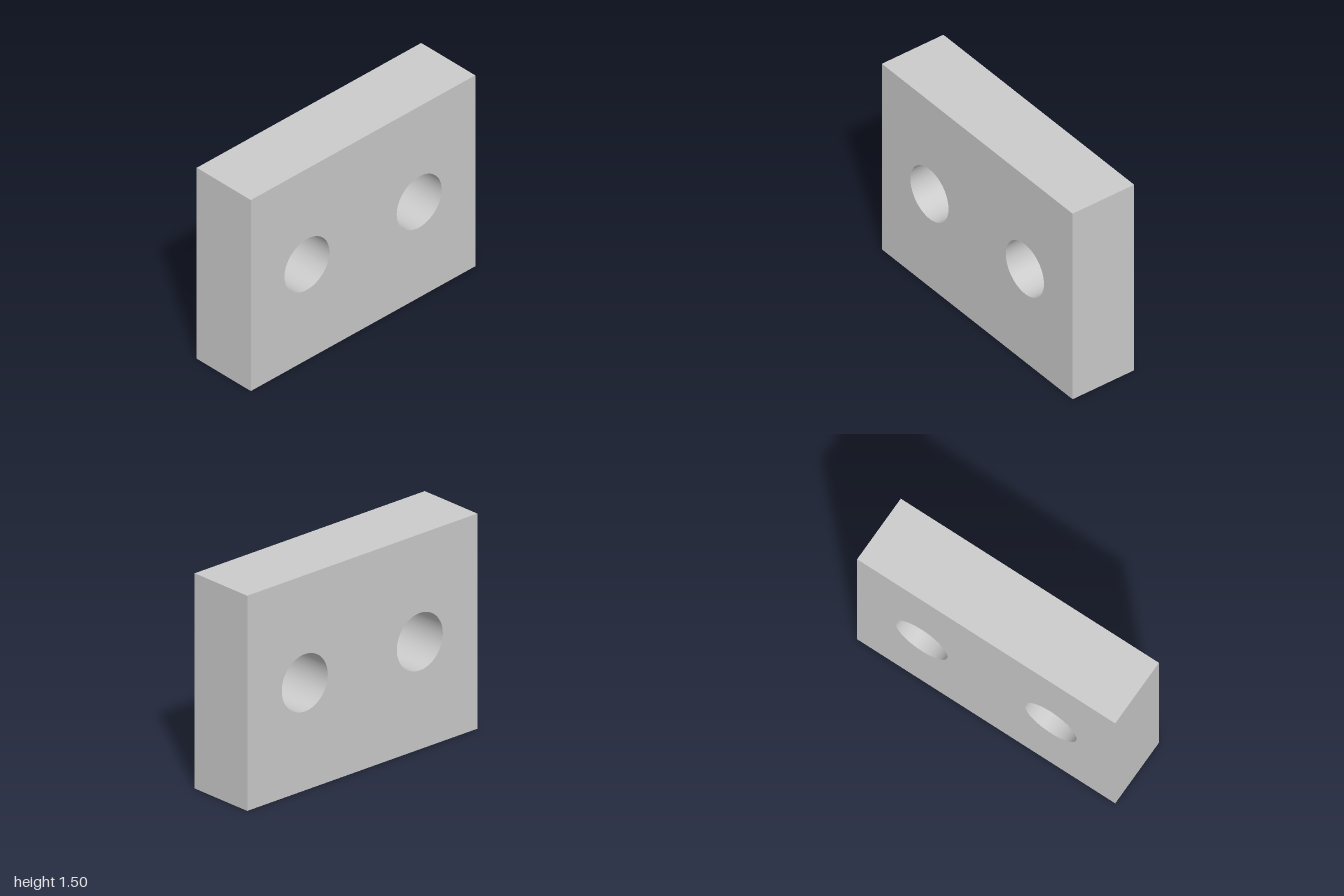
import * as THREE from 'three';

const WIDTH = 2, HEIGHT = 1.5, DEPTH = 0.5;
const HOLE_RADIUS = 0.2, HOLE_X = 0.5, HOLE_SIDES = 40;

export function createModel() {
  const group = new THREE.Group();
  group.name = 'drilledBlock';

  // Rectangular outline standing on the ground
  const outline = new THREE.Shape([
    new THREE.Vector2(-WIDTH / 2, 0),
    new THREE.Vector2(WIDTH / 2, 0),
    new THREE.Vector2(WIDTH / 2, HEIGHT),
    new THREE.Vector2(-WIDTH / 2, HEIGHT),
  ]);

  // Two round through-holes, mirrored about the middle
  for (const side of [-1, 1]) {
    const hole = new THREE.Path();
    hole.absarc(side * HOLE_X, HEIGHT / 2, HOLE_RADIUS, 0, Math.PI * 2, true);
    outline.holes.push(hole);
  }

  // Solid block with faceted hole walls
  const geometry = new THREE.ExtrudeGeometry(outline, {
    depth: DEPTH,
    bevelEnabled: false,
    curveSegments: HOLE_SIDES,
  });
  geometry.translate(0, 0, -DEPTH / 2);

  const material = new THREE.MeshStandardMaterial({ color: 0xcccccc, flatShading: true });
  const block = new THREE.Mesh(geometry, material);
  block.name = 'block';
  group.add(block);
  return group;
}
